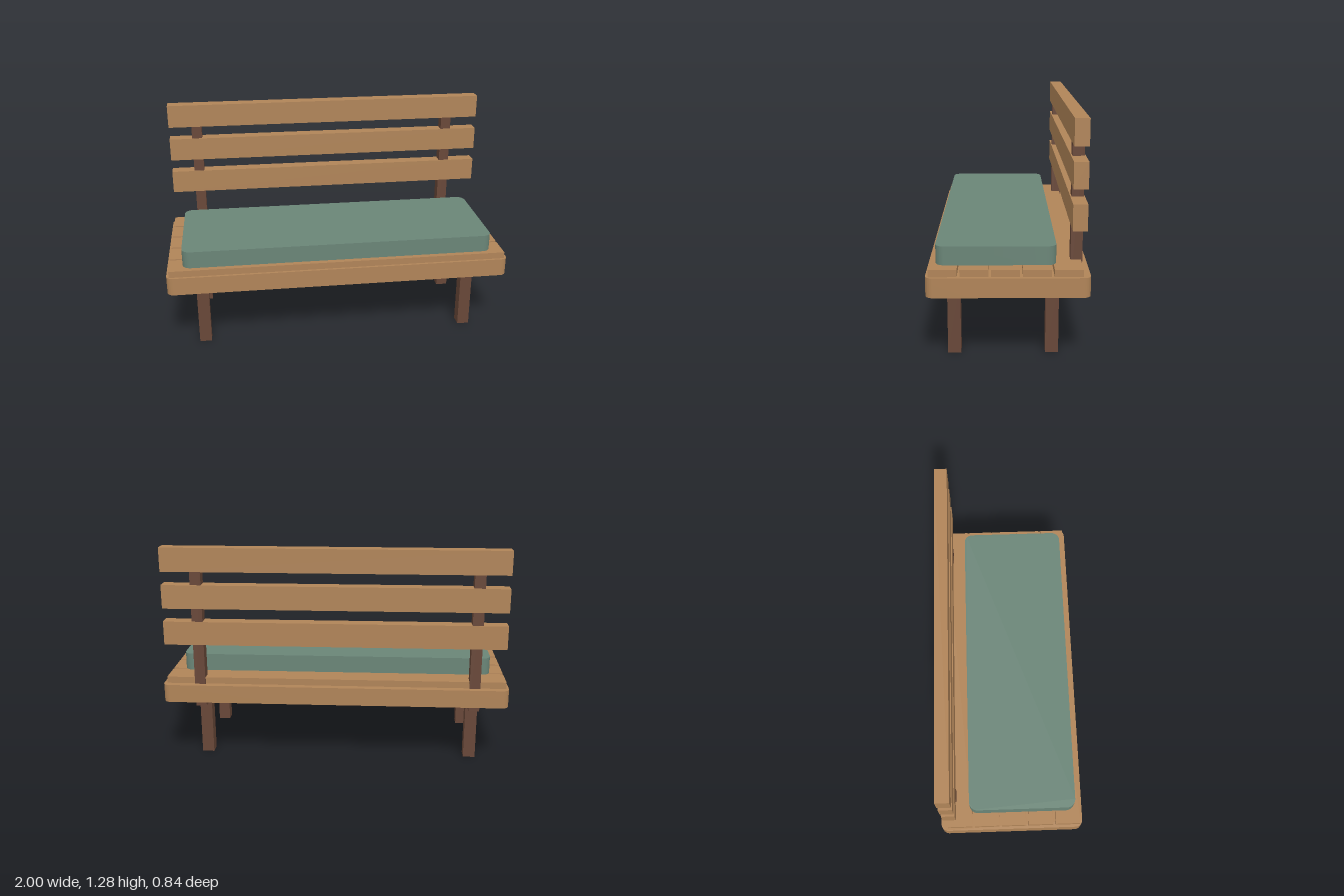
import * as THREE from 'three';
import { toCreasedNormals } from 'three/addons/utils/BufferGeometryUtils.js';

const mat = (name, color) => {
  const m = new THREE.MeshStandardMaterial({ color });
  m.name = name;
  return m;
};

export function createModel() {
  const group = new THREE.Group();
  const wood = mat('lightWood', 0xb08458);
  const darkWood = mat('darkWood', 0x684738);
  const fabric = mat('greenFabric', 0x6a8577);

  const add = (name, geometry, material, x, y, z) => {
    const mesh = new THREE.Mesh(geometry, material);
    mesh.name = name;
    mesh.position.set(x, y, z);
    group.add(mesh);
  };

  // Upright slab with rounded vertical corners, standing on its origin
  const roundedSlab = (w, h, d, r) => {
    const x = w / 2, y = d / 2;
    const s = new THREE.Shape();
    s.absarc(x - r, y - r, r, 0, Math.PI / 2);
    s.absarc(-x + r, y - r, r, Math.PI / 2, Math.PI);
    s.absarc(-x + r, -y + r, r, Math.PI, Math.PI * 1.5);
    s.absarc(x - r, -y + r, r, Math.PI * 1.5, Math.PI * 2);
    s.closePath();
    const g = new THREE.ExtrudeGeometry(s, { depth: h, bevelEnabled: false, curveSegments: 6 });
    g.rotateX(-Math.PI / 2);
    return toCreasedNormals(g, 0.6);
  };

  // Seat frame and cushion
  add('seatFrame', roundedSlab(2, 0.105, 0.84, 0.04), wood, 0, 0.377, 0);
  add('cushion', roundedSlab(1.814, 0.1, 0.623, 0.05), fabric, 0, 0.52, 0.062);

  // Seat slats
  const seatSlat = new THREE.BoxGeometry(1.965, 0.05, 0.146);
  for (let i = 0; i < 5; i++) add('seatSlat', seatSlat, wood, -0.002, 0.495, 0.332 - i * 0.16);

  // Back slats
  const backSlat = new THREE.BoxGeometry(1.955, 0.137, 0.075);
  for (let i = 0; i < 3; i++) add('backSlat', backSlat, wood, 0.003, 0.789 + i * 0.213, -0.358);

  // Legs and back posts
  const leg = new THREE.BoxGeometry(0.07, 0.39, 0.07);
  const post = new THREE.BoxGeometry(0.062, 0.875, 0.062);
  for (const x of [-0.805, 0.785]) {
    add('frontLeg', leg, darkWood, x, 0.195, 0.285);
    add('backLeg', leg, darkWood, x, 0.195, -0.235);
    add('backPost', post, darkWood, x, 0.7825, -0.358);
  }
  return group;
}
